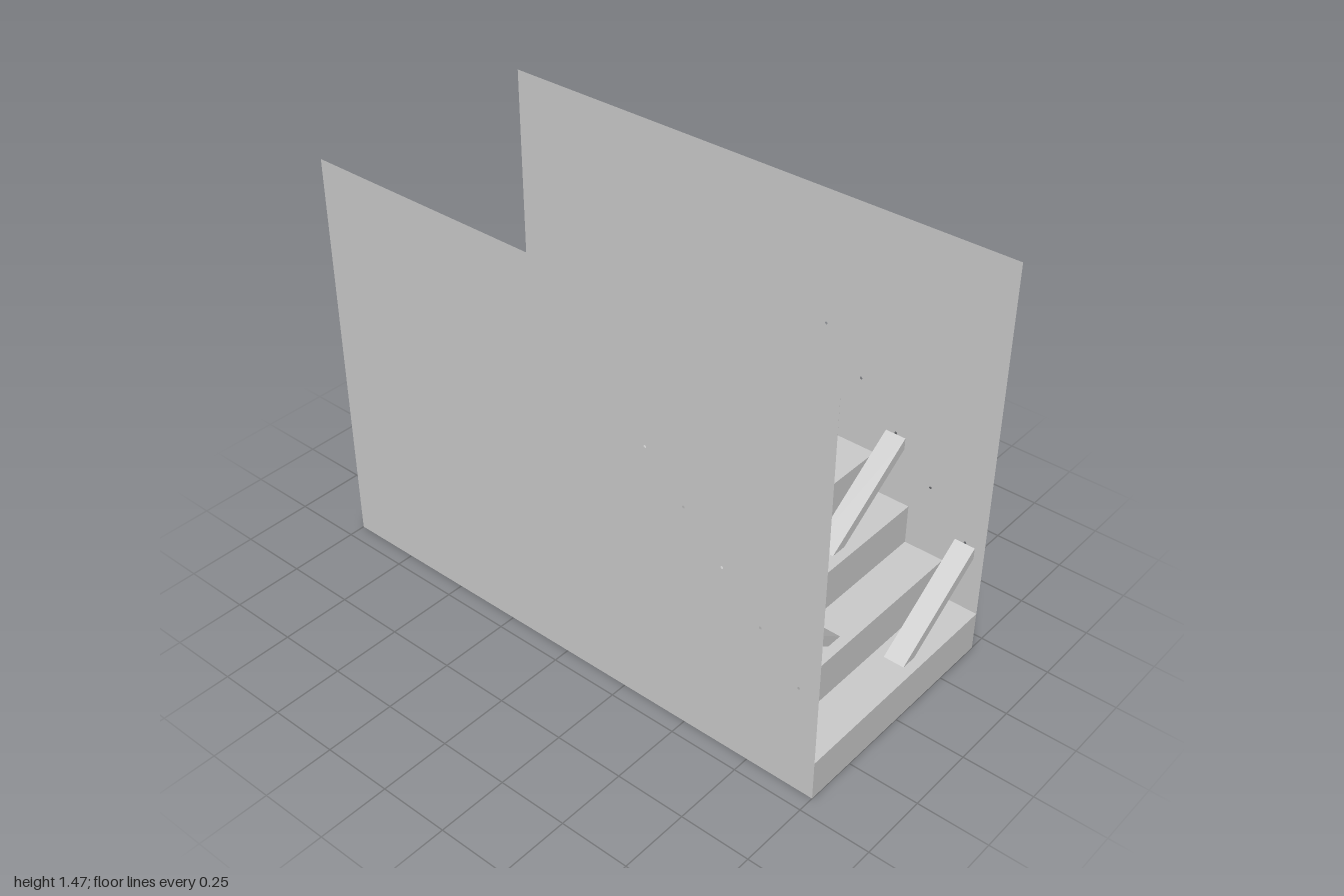
import * as THREE from 'three';

const STEP = 0.1467;   // tread depth and riser height
const HALF = 0.44;     // half the width of the stairwell
const HEIGHT = 1.467;  // wall height
const STEPS = 5;

export function createModel() {
  const group = new THREE.Group();
  const solid = new THREE.MeshStandardMaterial({ color: 0xcccccc, flatShading: true });
  const thin = new THREE.MeshStandardMaterial({ color: 0xcccccc, side: THREE.DoubleSide });

  const add = (name, geometry, material) => {
    const mesh = new THREE.Mesh(geometry, material);
    mesh.name = name;
    group.add(mesh);
    return mesh;
  };

  // Solid staircase rising towards -x, ending in a long landing
  const profile = new THREE.Shape();
  profile.moveTo(-1, 0);
  profile.lineTo(1, 0);
  for (let i = 0; i < STEPS; i++) {
    profile.lineTo(1 - i * STEP, (i + 1) * STEP);
    if (i < STEPS - 1) profile.lineTo(1 - (i + 1) * STEP, (i + 1) * STEP);
  }
  profile.lineTo(-1, STEPS * STEP);
  const stairs = new THREE.ExtrudeGeometry(profile, { depth: 2 * HALF, bevelEnabled: false });
  stairs.translate(0, 0, -HALF);
  add('stairs', stairs, solid);

  // Thin side walls with a row of tiny holes following the slope
  const wall = new THREE.Shape();
  wall.moveTo(-1, 0);
  wall.lineTo(1, 0);
  wall.lineTo(1, HEIGHT);
  wall.lineTo(-1, HEIGHT);
  for (let i = 0; i < STEPS; i++) {
    const hole = new THREE.Path();
    hole.absarc(1 - (i + 0.5) * STEP, 0.406 + i * STEP, 0.005, 0, Math.PI * 2, true);
    wall.holes.push(hole);
  }
  const wallGeometry = new THREE.ShapeGeometry(wall, 4);
  add('frontWall', wallGeometry, thin).position.z = HALF;
  add('backWall', wallGeometry, thin).position.z = -HALF;

  // Slanted braces from each tread up to alternating walls
  const WIDTH = 0.075;
  for (let i = 0; i < STEPS - 1; i++) {
    const side = i % 2 ? 1 : -1;
    const section = new THREE.Shape([
      [0.075, 0], [0.135, 0], [HALF, 0.213], [HALF, 0.255],
    ].map(([z, y]) => new THREE.Vector2(side * z, y)));
    const brace = new THREE.ExtrudeGeometry(section, { depth: WIDTH, bevelEnabled: false });
    brace.translate(0, 0, -WIDTH / 2).rotateY(-Math.PI / 2);
    add('brace' + (i + 1), brace, solid).position.set(1 - (i + 0.5) * STEP, (i + 1) * STEP, 0);
  }

  return group;
}
